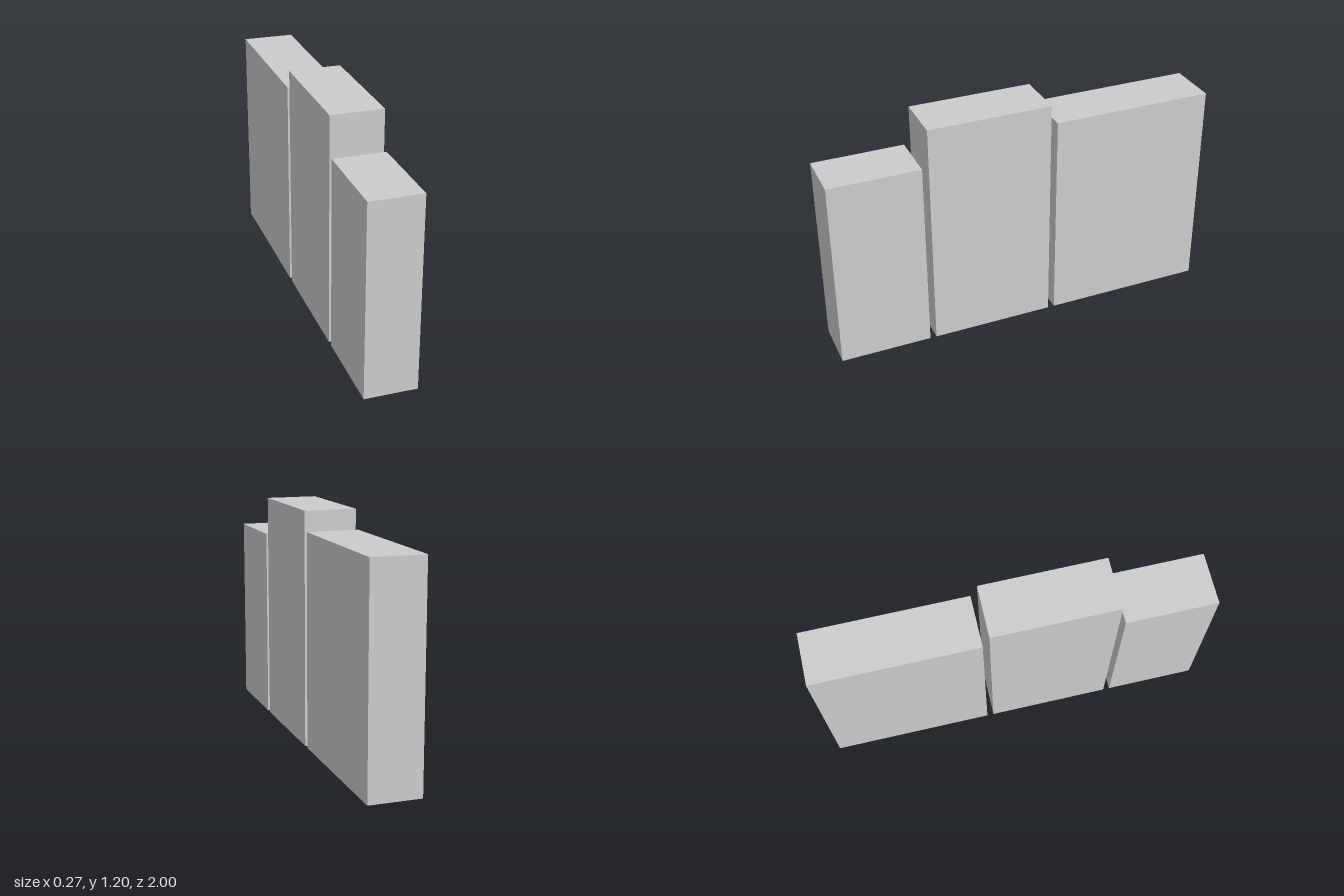
import * as THREE from 'three';

export function createModel() {
  const group = new THREE.Group();
  const material = new THREE.MeshStandardMaterial({ color: 0xcccccc, flatShading: true });
  const width = 0.267;

  // Three upright slabs in a row, separated by narrow gaps
  const slabs = [
    { name: 'frontSlab', height: 1.0, zFront: 1.0, zBack: 0.533 },
    { name: 'middleSlab', height: 1.2, zFront: 0.5, zBack: -0.133 },
    { name: 'backSlab', height: 1.1, zFront: -0.167, zBack: -1.0 },
  ];

  for (const { name, height, zFront, zBack } of slabs) {
    const slab = new THREE.Mesh(new THREE.BoxGeometry(width, height, zFront - zBack), material);
    slab.name = name;
    slab.position.set(0, height / 2, (zFront + zBack) / 2);
    group.add(slab);
  }

  return group;
}
